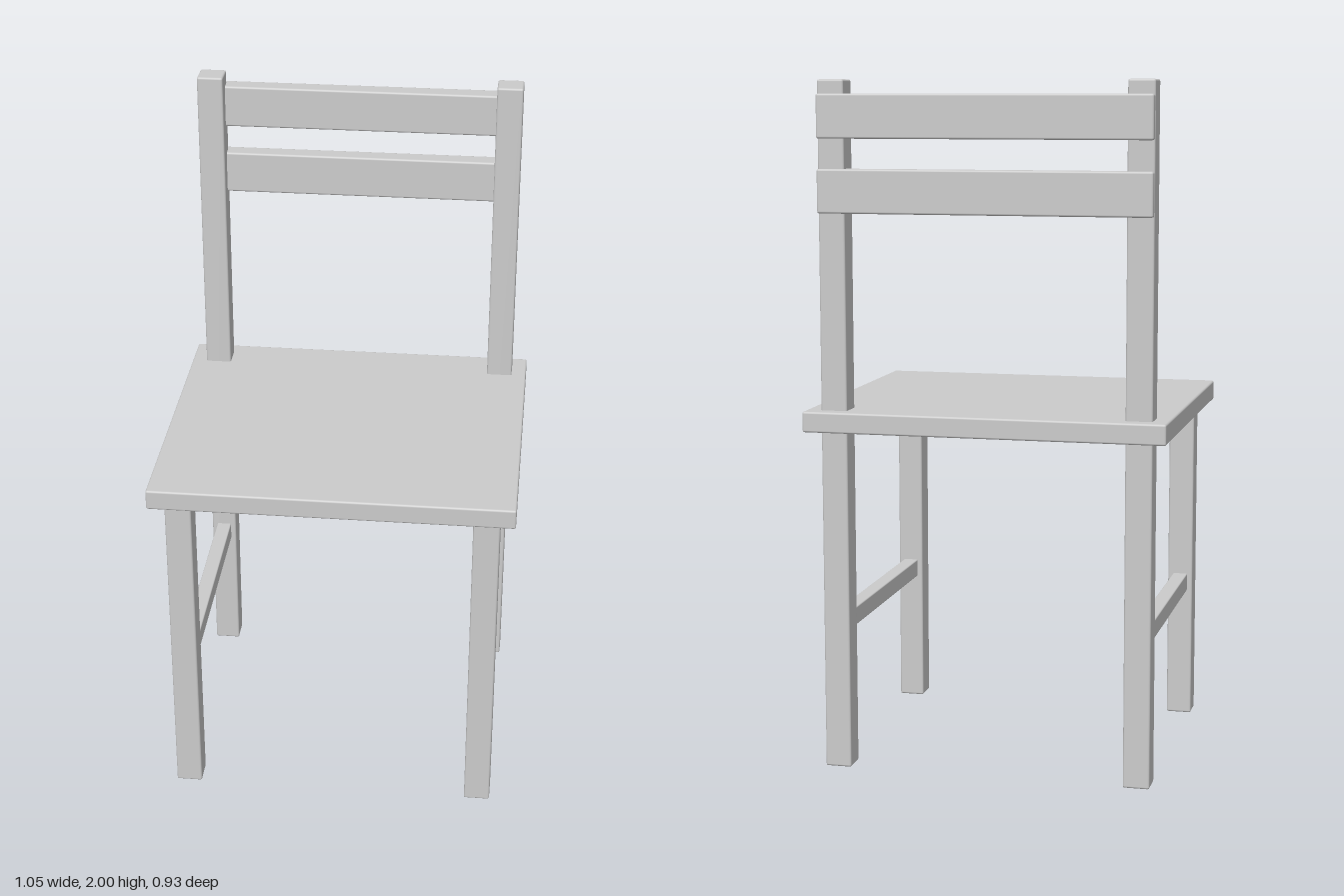
import * as THREE from 'three';
import { RoundedBoxGeometry } from 'three/addons/geometries/RoundedBoxGeometry.js';

const material = new THREE.MeshStandardMaterial({ color: 0xcccccc });

// Wooden board with softly eased edges, standing on height y
function board(name, [w, h, d], [x, y, z], ease = 0.006) {
  const mesh = new THREE.Mesh(new RoundedBoxGeometry(w, h, d, 2, ease), material);
  mesh.name = name;
  mesh.position.set(x, y + h / 2, z);
  return mesh;
}

export function createModel() {
  const chair = new THREE.Group();
  chair.name = 'chair';

  const post = 0.077;   // square section of legs and back posts
  const legX = 0.444;
  const legZ = 0.388;

  chair.add(board('seat', [1.054, 0.06, 0.934], [0, 1, 0]));

  // Legs and side stretchers, mirrored left and right
  for (const [side, s] of [['left', 1], ['right', -1]]) {
    chair.add(
      board(side + 'FrontLeg', [post, 1, post], [s * legX, 0, legZ]),
      board(side + 'BackPost', [post, 2, post], [s * legX, 0, -legZ]),
      board(side + 'Stretcher', [0.045, 0.055, 0.71], [s * legX, 0.4, 0], 0.004)
    );
  }

  // Back slats let into the rear of the posts
  chair.add(
    board('lowerBackSlat', [0.962, 0.125, 0.055], [0, 1.625, -0.418]),
    board('upperBackSlat', [0.962, 0.125, 0.055], [0, 1.835, -0.418])
  );

  return chair;
}
